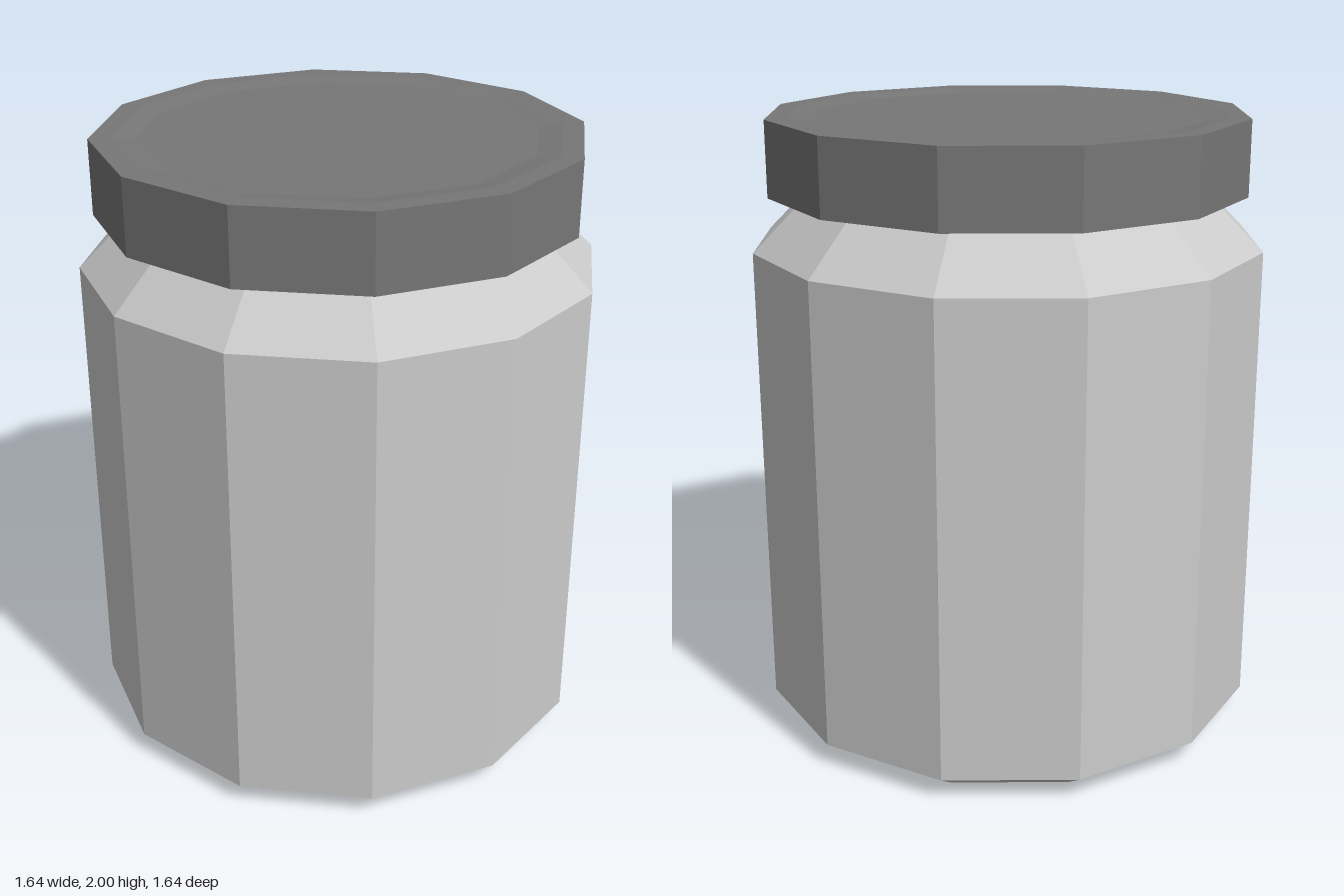
import * as THREE from 'three';

const SIDES = 12;

// Faceted solid of revolution from [radius, height] pairs, listed bottom to top
function turned(name, color, profile) {
  const points = profile.map(([r, y]) => new THREE.Vector2(r, y));
  const material = new THREE.MeshStandardMaterial({ color, flatShading: true });
  const mesh = new THREE.Mesh(new THREE.LatheGeometry(points, SIDES), material);
  mesh.name = name;
  return mesh;
}

export function createModel() {
  const model = new THREE.Group();
  model.name = 'jar';

  // Body: chamfered base, straight wall, sloping shoulder, neck hidden in the lid
  model.add(turned('body', 0xcccccc, [
    [0, 0], [0.71, 0], [0.822, 0.075], [0.822, 1.59], [0.65, 1.76], [0.65, 1.82], [0, 1.82],
  ]));

  // Lid: overhanging cap with a shallow recessed top
  model.add(turned('lid', 0x777777, [
    [0, 1.76], [0.768, 1.76], [0.768, 2], [0.7, 2], [0.625, 1.99], [0, 1.99],
  ]));

  return model;
}
